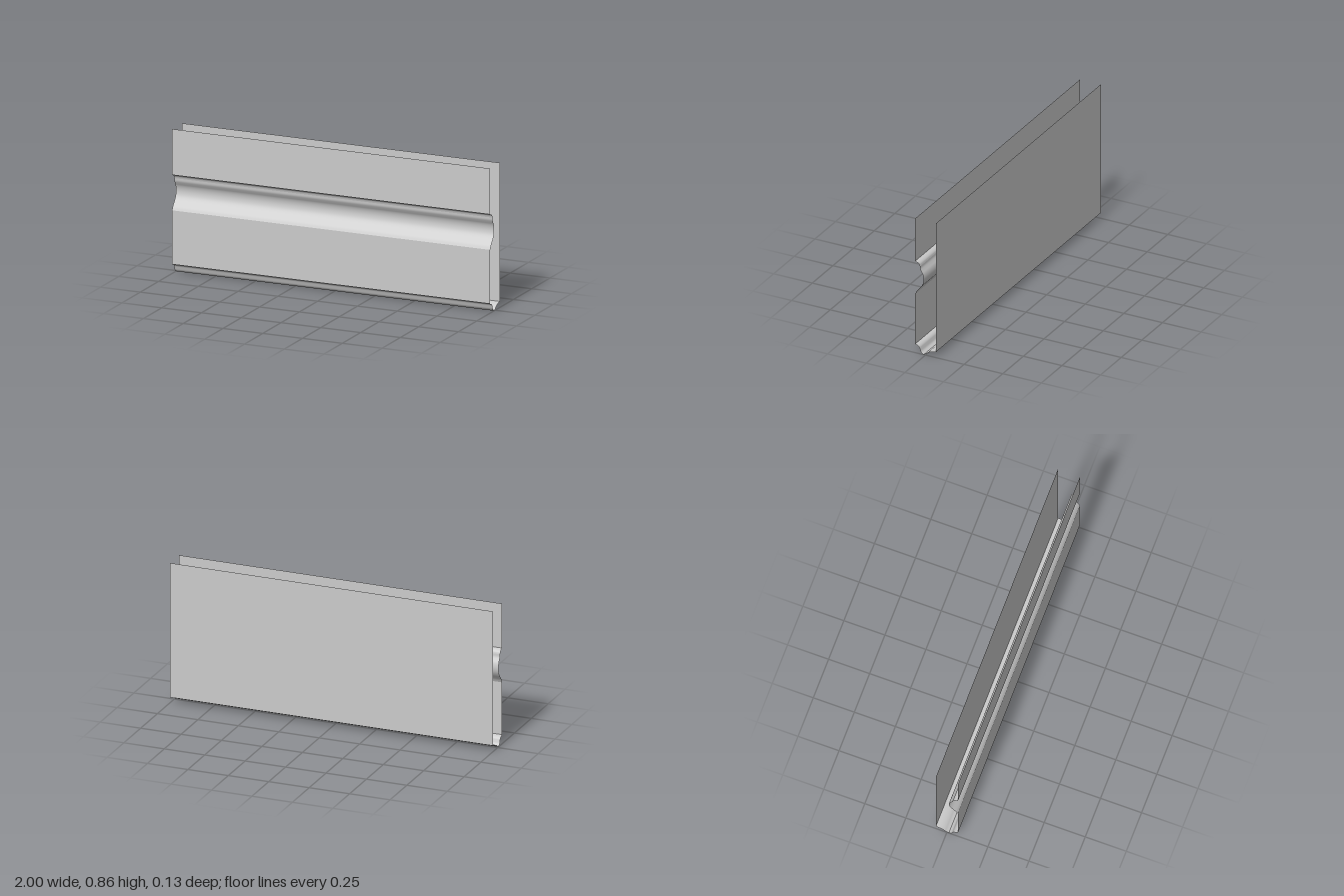
import * as THREE from 'three';

const LENGTH = 2;
const FRONT = 0.067, BACK = -0.067, TOP = 0.857;
const material = new THREE.MeshStandardMaterial({ color: 0xcccccc, side: THREE.DoubleSide });

// Sweeps an open profile of [z, y] points along x, from the top downwards on the front
function strip(name, points, steps = 1) {
  const curve = new THREE.CatmullRomCurve3(points.map(([z, y]) => new THREE.Vector3(0, y, z)), false, 'centripetal');
  const geometry = new THREE.PlaneGeometry(LENGTH, 1, 1, steps);
  const pos = geometry.attributes.position;
  for (let i = 0; i < pos.count; i++) {
    const p = curve.getPoint(Math.floor(i / 2) / steps);
    pos.setXYZ(i, pos.getX(i), p.y, p.z);
  }
  geometry.computeVertexNormals();
  const mesh = new THREE.Mesh(geometry, material);
  mesh.name = name;
  return mesh;
}

export function createModel() {
  const group = new THREE.Group();
  group.name = 'mouldedBoard';

  // Flat panels, open at the top
  group.add(
    strip('upperFrontPanel', [[FRONT, TOP], [FRONT, 0.585]]),
    strip('lowerFrontPanel', [[FRONT, 0.375], [FRONT, 0.055]]),
    strip('backPanel', [[BACK, 0.035], [BACK, TOP]]),
  );

  // Groove across the front: a small cove, then a deep ogee
  group.add(
    strip('grooveCove', [[FRONT, 0.585], [0.05, 0.579], [0.04, 0.57], [0.036, 0.558]], 10),
    strip('grooveOgee', [
      [0.036, 0.558], [0.034, 0.542], [0.026, 0.526], [0.018, 0.512], [0.013, 0.495],
      [0.012, 0.475], [0.017, 0.452], [0.029, 0.43], [0.045, 0.41], [0.058, 0.393], [FRONT, 0.375],
    ], 32),
  );

  // Moulded bottom edge
  group.add(
    strip('bottomFrontCurve', [[FRONT, 0.055], [0.05, 0.049], [0.04, 0.04], [0.035, 0.028], [0.028, 0.012], [0.012, 0]], 18),
    strip('bottomBackCurve', [[0.012, 0], [-0.002, 0.008], [-0.014, 0.018], [-0.028, 0.026], [-0.046, 0.032], [BACK, 0.035]], 18),
  );
  return group;
}
